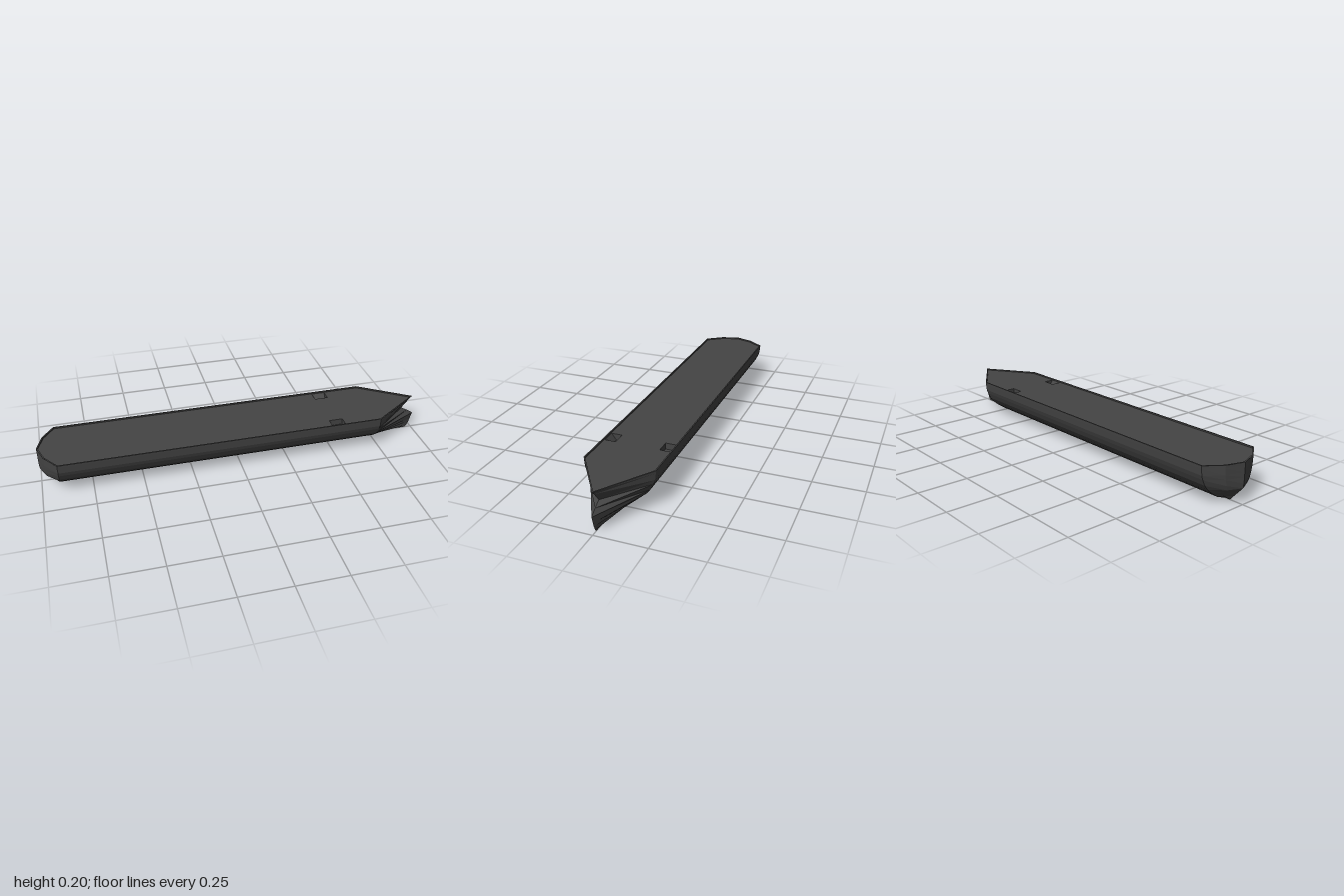
import * as THREE from 'three';

const steel = new THREE.MeshStandardMaterial({ color: 0x444444, flatShading: true, side: THREE.DoubleSide });
steel.name = 'dark steel';

// Surface through columns of [x, y, z] points; side = -1 mirrors it across the centreline
function loft(columns, side = 1) {
  const rows = columns[0].length;
  const positions = columns.flat().flatMap(([x, y, z]) => [x, y, z * side]);
  const index = [];
  for (let i = 0; i < columns.length - 1; i++) {
    for (let j = 0; j < rows - 1; j++) {
      const a = i * rows + j, b = a + rows, c = b + 1, d = a + 1;
      if (side > 0) index.push(a, b, c, a, c, d);
      else index.push(a, c, b, a, d, c);
    }
  }
  const geometry = new THREE.BufferGeometry();
  geometry.setAttribute('position', new THREE.Float32BufferAttribute(positions, 3));
  geometry.setIndex(index);
  const flat = geometry.toNonIndexed();
  flat.computeVertexNormals();
  return flat;
}

export function createModel() {
  const ship = new THREE.Group();
  ship.name = 'shipHull';
  const add = (name, geometry, parent = ship) => {
    const mesh = new THREE.Mesh(geometry, steel);
    mesh.name = name;
    parent.add(mesh);
  };

  const top = 0.198, deckY = 0.191;

  // Half profile from keel to gunwale: half width, height, stem x, stem height
  const profile = [
    [0, 0.002, 0.965, 0.002],
    [0.06, 0.025, 0.975, 0.012],
    [0.1, 0.053, 0.985, 0.035],
    [0.127, 0.077, 0.99, 0.055],
    [0.145, 0.1, 1, 0.09],
    [0.16, 0.13, 0.965, 0.113],
    [0.168, 0.152, 0.93, 0.133],
    [0.171, 0.185, 0.967, 0.18],
    [0.172, top, 0.985, top],
  ];
  const sternX = (y) => -0.93 - 0.07 * Math.min(1, y / 0.08);
  const hull = [
    profile.map(([, y]) => [sternX(y), y, 0]),
    profile.map(([w, y]) => [sternX(y) + 0.03, y, w * 0.53]),
    profile.map(([w, y]) => [-0.91, y, w]),
    profile.map(([w, y]) => [0.73, y, w]),
    profile.map(([, , x, y]) => [x, y, 0]),
  ];

  // Gunwale: outer and inner outlines from stern to stem
  const outer = [[-1, 0], [-0.97, 0.091], [-0.91, 0.172], [0.73, 0.172], [0.985, 0]];
  const inner = [[-0.993, 0], [-0.964, 0.088], [-0.907, 0.166], [0.728, 0.166], [0.974, 0]];
  const rail = outer.map(([x, z], i) => {
    const [u, v] = inner[i];
    return [[x, top, z], [u, top, v], [u, deckY, v]];
  });

  // Anchor recess: sloped outer wall, flat floor, upright inner wall
  const x0 = 0.47, x1 = 0.54, floorY = 0.16;
  const section = [[deckY, 0.163], [floorY, 0.14], [floorY, 0.11], [deckY, 0.11]];
  const at = (x, i) => [x, ...section[i]];
  const recess = [x0, x1].map((x) => section.map((_, i) => at(x, i)));
  const aftWall = [[at(x0, 3), at(x0, 2)], [at(x0, 0), at(x0, 1)]];
  const foreWall = [[at(x1, 0), at(x1, 1)], [at(x1, 3), at(x1, 2)]];

  // Deck plate with an opening over each recess
  const outline = [...inner, ...inner.slice(1, -1).reverse().map(([x, z]) => [x, -z])];
  const deck = new THREE.Shape(outline.map(([x, z]) => new THREE.Vector2(x, z)));

  for (const [label, side] of [['left', -1], ['right', 1]]) {
    add(label === 'left' ? 'backHullSide' : 'frontHullSide', loft(hull, side));
    add(label === 'left' ? 'backGunwale' : 'frontGunwale', loft(rail, side));

    const pocket = new THREE.Group();
    pocket.name = label === 'left' ? 'backAnchorRecess' : 'frontAnchorRecess';
    add('recessFloor', loft(recess, side), pocket);
    add('recessAftWall', loft(aftWall, side), pocket);
    add('recessForeWall', loft(foreWall, side), pocket);
    ship.add(pocket);

    const corners = [[x0, 0.11], [x1, 0.11], [x1, 0.163], [x0, 0.163]];
    deck.holes.push(new THREE.Path(corners.map(([x, z]) => new THREE.Vector2(x, z * side))));
  }

  add('deck', new THREE.ShapeGeometry(deck).rotateX(-Math.PI / 2).translate(0, deckY, 0));
  return ship;
}
